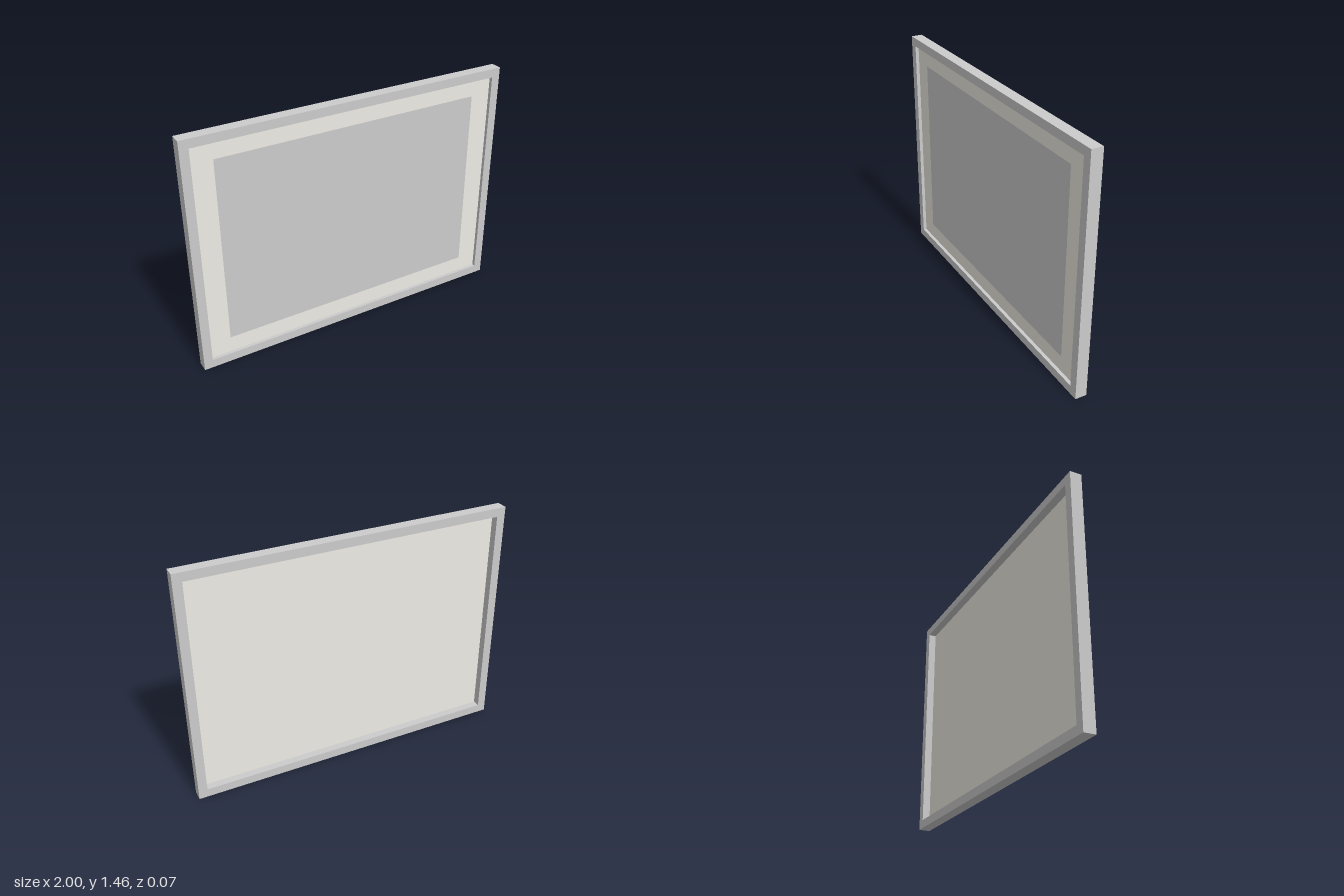
import * as THREE from 'three';

const W = 2, H = 1.455, DEPTH = 0.07, BORDER = 0.053;

// Adds a rectangle outline centred on the origin to a shape or path
function rect(path, w, h) {
  path.moveTo(-w / 2, -h / 2);
  path.lineTo(w / 2, -h / 2);
  path.lineTo(w / 2, h / 2);
  path.lineTo(-w / 2, h / 2);
  path.closePath();
  return path;
}

function addPart(group, name, geometry, color, z) {
  const material = new THREE.MeshStandardMaterial({ color, side: THREE.DoubleSide });
  const mesh = new THREE.Mesh(geometry, material);
  mesh.name = name;
  mesh.position.set(0, H / 2, z);
  group.add(mesh);
}

export function createModel() {
  const group = new THREE.Group();
  group.name = 'pictureFrame';
  const innerW = W - 2 * BORDER, innerH = H - 2 * BORDER;

  // Square-edged frame with a rectangular opening
  const outline = rect(new THREE.Shape(), W, H);
  outline.holes.push(rect(new THREE.Path(), innerW, innerH));
  const frame = new THREE.ExtrudeGeometry(outline, { depth: DEPTH, bevelEnabled: false });
  addPart(group, 'frame', frame, 0xcccccc, -DEPTH / 2);

  // Thin mat board, set back from the front and deeply recessed at the back
  addPart(group, 'matBoard', new THREE.BoxGeometry(innerW, innerH, 0.002), 0xeeece4, 0.013);

  // Picture lying on the front of the mat
  addPart(group, 'picture', new THREE.PlaneGeometry(1.64, 1.15), 0xc0c0c0, 0.0155);

  return group;
}
